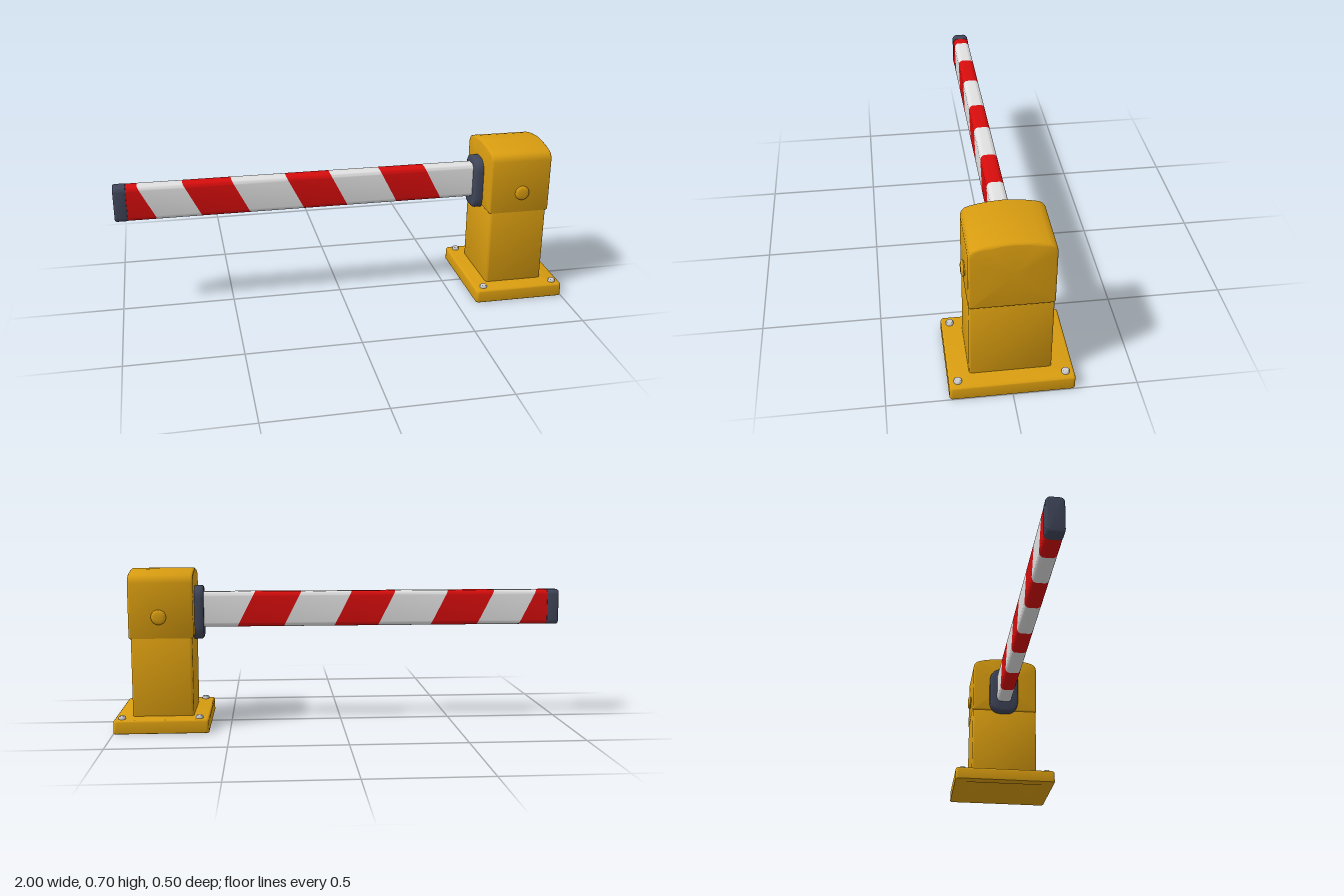
import * as THREE from 'three';
import { toCreasedNormals } from 'three/addons/utils/BufferGeometryUtils.js';

const mat = (name, color) => {
  const m = new THREE.MeshStandardMaterial({ color });
  m.name = name;
  return m;
};

// Rounded rectangle section (u, v); returns its loop shrunk by an inset
const roundRect = (hu, hv, r, n = 5) => (inset) => {
  const pts = [], a = hu - inset, b = hv - inset, q = Math.max(r - inset, 0.002);
  [[1, 1], [-1, 1], [-1, -1], [1, -1]].forEach(([su, sv], c) => {
    for (let i = 0; i <= n; i++) {
      const t = (c + i / n) * Math.PI / 2;
      pts.push([su * (a - q) + q * Math.cos(t), sv * (b - q) + q * Math.sin(t)]);
    }
  });
  return pts;
};

// Stations [w, inset, shear]; a null inset collapses the loop to its centre
const rounded = (w0, w1, r0, r1) => {
  const s = [[w0, null]];
  for (let k = 0; k <= 3; k++) {
    const t = k * Math.PI / 6;
    s.push([w0 + r0 * (1 - Math.sin(t)), r0 * (1 - Math.cos(t))].map((v, i) => i ? v : w0 + r0 - r0 * Math.cos(t)));
    s[s.length - 1][1] = r0 * (1 - Math.sin(t));
  }
  for (let k = 3; k >= 0; k--) {
    const t = k * Math.PI / 6;
    s.push([w1 - r1 + r1 * Math.cos(t), r1 * (1 - Math.sin(t))]);
  }
  s.push([w1, null]);
  return s;
};

// Skin a section along x (u = y, v = z) or along y (u = z, v = x)
function loft(section, stations, axis, [cu, cv]) {
  const pos = [], idx = [], n = section(0).length;
  for (const [w, inset, shear = 0] of stations) {
    for (const [pu, pv] of section(inset ?? 0)) {
      const u = inset === null ? 0 : pu, v = inset === null ? 0 : pv;
      const along = w - shear * u;
      if (axis === 'x') pos.push(along, cu + u, cv + v);
      else pos.push(cv + v, along, cu + u);
    }
  }
  for (let i = 0; i < stations.length - 1; i++) {
    for (let j = 0; j < n; j++) {
      const a = i * n + j, b = i * n + (j + 1) % n;
      if (stations[i][1] !== null) idx.push(a, b, b + n);
      if (stations[i + 1][1] !== null) idx.push(a, b + n, a + n);
      else if (stations[i][1] === null) continue;
    }
  }
  const g = new THREE.BufferGeometry();
  g.setAttribute('position', new THREE.Float32BufferAttribute(pos, 3));
  g.setIndex(idx);
  return toCreasedNormals(g, 0.65);
}

export function createModel() {
  const model = new THREE.Group();
  model.name = 'barrierGate';
  const yellow = mat('yellow paint', 0xd89c10);
  const red = mat('red stripe', 0xd60c0c);
  const white = mat('white paint', 0xe0e0e0);
  const dark = mat('dark rubber', 0x40465a);
  const steel = mat('steel', 0xcccccc);
  const add = (name, geometry, material, parent = model) => {
    const m = new THREE.Mesh(geometry, material);
    m.name = name;
    parent.add(m);
    return m;
  };
  const cx = 0.795;

  // Base plate with a tapered recess underneath
  const plate = [[0.03, null], [0.03, 0.1], [0, 0.055], ...rounded(0, 0.06, 0.003, 0.01).slice(1)];
  add('basePlate', loft(roundRect(0.25, 0.205, 0.015), plate, 'y', [0, cx]), yellow);

  // Post
  add('post', loft(roundRect(0.165, 0.133, 0.012), rounded(0.05, 0.41, 0.002, 0.002), 'y', [0, cx - 0.002]), yellow);

  // Head housing with an arched top
  const half = [[-0.15, -0.159], [-0.147, -0.165], [-0.141, -0.167], [0.095, -0.167], [0.112, -0.163],
    [0.125, -0.152], [0.132, -0.135], [0.14, -0.1], [0.147, -0.05]];
  const arch = [...half, [0.15, 0], ...half.map(([u, v]) => [u, -v]).reverse()];
  const headSection = (inset) => arch.map(([u, v]) => [u * (1 - inset / 0.15), v * (1 - inset / 0.167)]);
  add('head', loft(headSection, rounded(0.655, 0.935, 0.01, 0.01), 'x', [0.55, 0]), yellow);

  // Pivot caps on both sides of the head
  const capProfile = [[0, 0.182], [0.018, 0.182], [0.027, 0.18], [0.032, 0.176], [0.033, 0.172], [0.03, 0.168], [0.028, 0.16]]
    .map(([r, y]) => new THREE.Vector2(r, y)).reverse();
  const capGeo = toCreasedNormals(new THREE.LatheGeometry(capProfile, 28), 0.75);
  for (const s of [1, -1]) {
    const cap = add('pivotCap', capGeo, yellow);
    cap.rotation.x = s * Math.PI / 2;
    cap.position.set(0.803, 0.497, 0);
  }

  // Anchor bolts
  const boltProfile = [[0.016, 0.055], [0.016, 0.068], [0.013, 0.073], [0.007, 0.075], [0, 0.075]]
    .map(([r, y]) => new THREE.Vector2(r, y));
  const boltGeo = toCreasedNormals(new THREE.LatheGeometry(boltProfile, 14), 0.75);
  for (const x of [0.632, 0.964]) {
    for (const z of [-0.214, 0.214]) add('bolt', boltGeo, steel).position.set(x, 0, z);
  }

  // Collar around the root of the arm
  const centre = [0.515, -0.008];
  add('armCollar', loft(roundRect(0.12, 0.073, 0.055, 7), rounded(0.616, 0.66, 0.014, 0.003), 'x', [0.502, -0.008]), dark);

  // Arm, alternating red and white with slanted joints
  const arm = new THREE.Group();
  arm.name = 'arm';
  model.add(arm);
  const section = roundRect(0.079, 0.037, 0.02);
  const joints = [-0.95, -0.855, -0.66, -0.447, -0.206, -0.008, 0.22, 0.428, 0.64];
  const last = joints.length - 1;
  const slant = (i) => (i === 0 || i === last ? 0 : 0.51);
  for (let i = 0; i < last; i++) {
    const stations = [[joints[i], 0, slant(i)], [joints[i + 1], 0, slant(i + 1)]];
    add(i % 2 ? 'whiteBand' : 'redBand', loft(section, stations, 'x', centre), i % 2 ? white : red, arm);
  }
  add('armEndCap', loft(roundRect(0.08, 0.038, 0.02), rounded(-1, -0.945, 0.009, 0.001), 'x', centre), dark, arm);

  return model;
}
